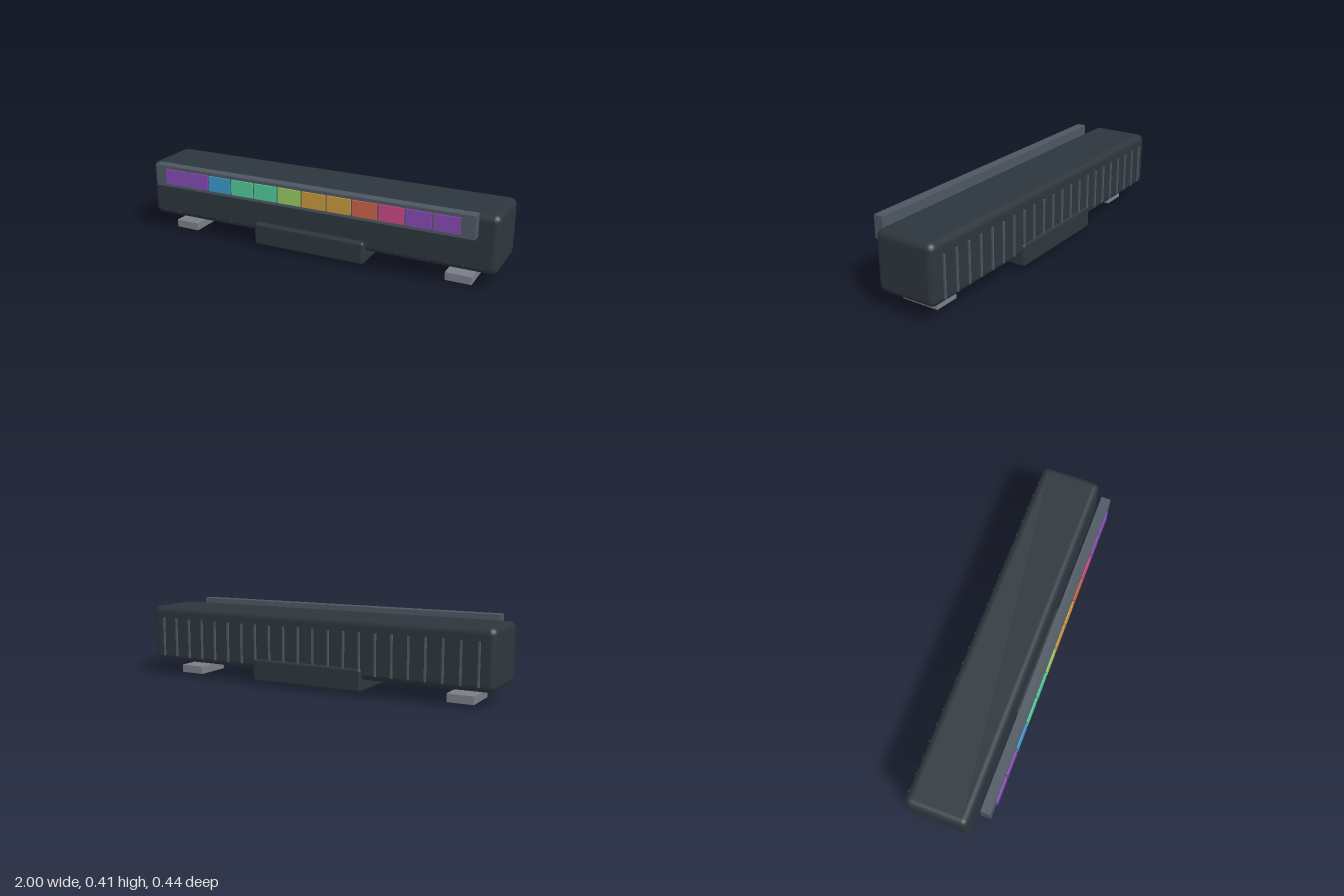
import * as THREE from 'three';
import { RoundedBoxGeometry } from 'three/addons/geometries/RoundedBoxGeometry.js';

const material = (name, color) => {
  const m = new THREE.MeshStandardMaterial({ color });
  m.name = name;
  return m;
};

export function createModel() {
  const model = new THREE.Group();
  model.name = 'lightBar';

  const dark = material('dark slate', 0x2d363d);
  const grey = material('slate grey', 0x4d5761);
  const pale = material('pale grey', 0x7b7e88);
  const purple = material('purple', 0x8549b3);
  const blue = material('blue', 0x3b97c9);
  const teal = material('teal', 0x50c898);
  const lime = material('lime', 0x96c862);
  const amber = material('amber', 0xc8963c);
  const coral = material('coral', 0xc8624a);
  const pink = material('pink', 0xc84684);

  // Box given by its limits along each axis, with optional rounded edges
  const block = (name, mat, [x0, x1], [y0, y1], [z0, z1], radius = 0, segments = 2) => {
    const size = [x1 - x0, y1 - y0, z1 - z0];
    const geometry = radius
      ? new RoundedBoxGeometry(...size, segments, radius)
      : new THREE.BoxGeometry(...size);
    const mesh = new THREE.Mesh(geometry, mat);
    mesh.name = name;
    mesh.position.set((x0 + x1) / 2, (y0 + y1) / 2, (z0 + z1) / 2);
    model.add(mesh);
    return mesh;
  };

  // Long housing and the central base below it
  block('housing', dark, [-1, 1], [0.081, 0.387], [-0.205, 0.123], 0.035, 3);
  block('base', dark, [-0.32, 0.32], [0.02, 0.14], [-0.217, 0.155], 0.014);

  // Feet
  for (const side of [-1, 1]) {
    const x = side * 0.804;
    block('foot', pale, [x - 0.07, x + 0.07], [0, 0.045], [-0.116, 0.091], 0.003, 1);
  }

  // Thin vertical ribs: raised on the back, almost flush on the front
  const ribs = 22;
  for (let i = 0; i < ribs; i++) {
    const x = (i - (ribs - 1) / 2) * 0.0879;
    block('backRib', grey, [x - 0.005, x + 0.005], [0.108, 0.323], [-0.213, -0.195]);
    block('frontRib', grey, [x - 0.004, x + 0.004], [0.108, 0.323], [0.112, 0.1225]);
  }

  // Display rail in front of the housing
  block('displayRail', grey, [-0.907, 0.907], [0.286, 0.408], [0.157, 0.21], 0.003, 1);

  // Row of coloured tiles
  const tiles = [purple, purple, blue, teal, teal, lime, amber, amber, coral, pink, purple, purple];
  tiles.forEach((mat, i) => {
    const x = (i - (tiles.length - 1) / 2) * 0.14;
    block('colourTile', mat, [x - 0.065, x + 0.065], [0.306, 0.389], [0.2095, 0.2185]);
  });

  return model;
}
